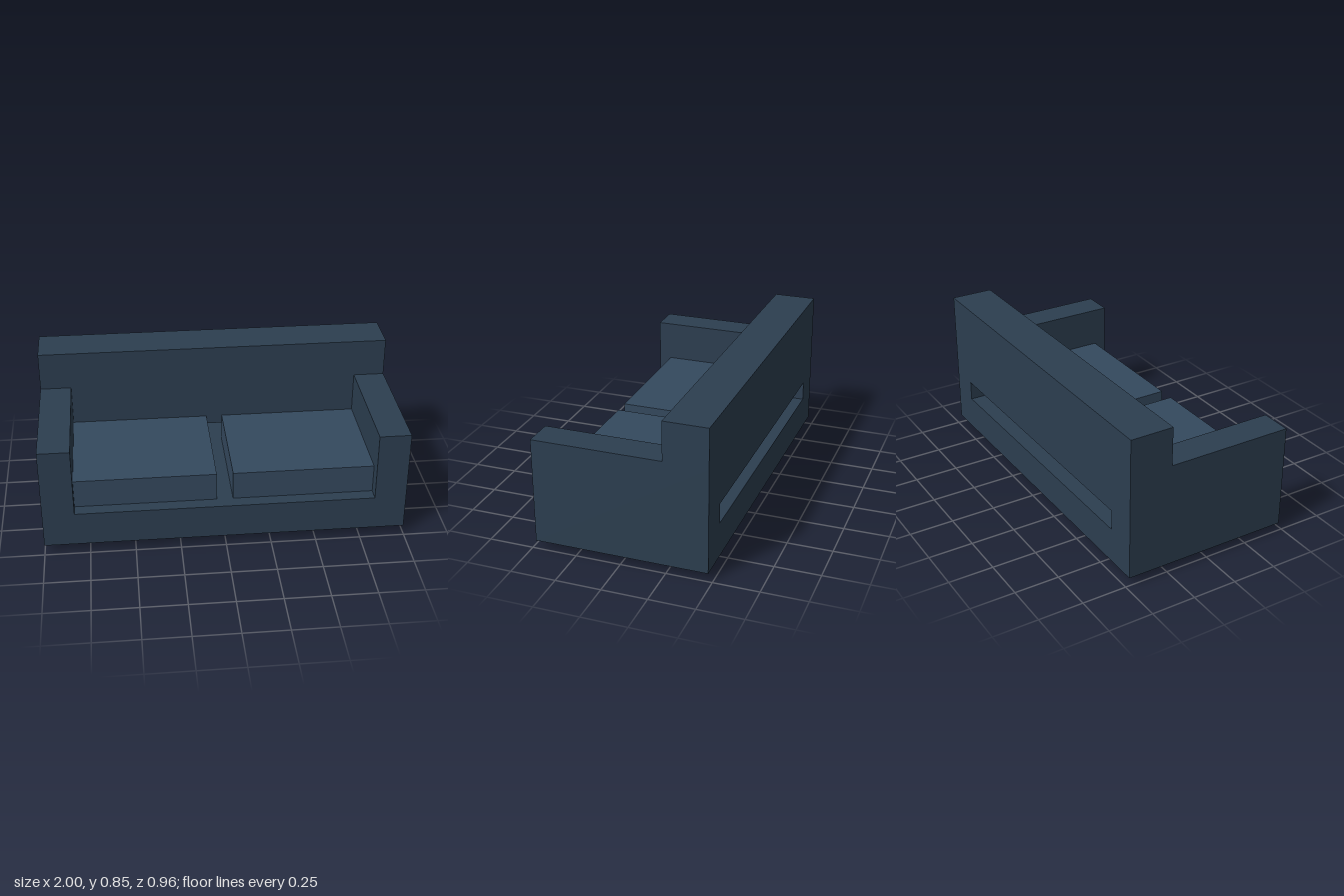
import * as THREE from 'three';

const W = 1, ARM_IN = 0.825, FRONT = 0.478, BACK_FACE = -0.235;
const FLOOR = 0.047, SEAT = 0.243, ARM_TOP = 0.635, BACK_TOP = 0.852, BACK_LOW = 0.355;

export function createModel() {
  const sofa = new THREE.Group();
  sofa.name = 'sofa';
  const fabric = new THREE.MeshStandardMaterial({ color: 0x2c3e50 });
  const cushionFabric = new THREE.MeshStandardMaterial({ color: 0x34495e });
  const legMaterial = new THREE.MeshStandardMaterial({ color: 0x1a1a1a });

  const add = (name, geometry, material, x = 0, y = 0, z = 0) => {
    const mesh = new THREE.Mesh(geometry, material);
    mesh.name = name;
    mesh.position.set(x, y, z);
    sofa.add(mesh);
  };
  // Extrudes a front-view outline between two depths
  const slab = (name, points, z0, z1) => {
    const shape = new THREE.Shape(points.map(([x, y]) => new THREE.Vector2(x, y)));
    add(name, new THREE.ExtrudeGeometry(shape, { depth: z1 - z0, bevelEnabled: false }), fabric, 0, 0, z0);
  };

  // Base and both arms as one U-shaped body
  slab('baseAndArms', [
    [-W, FLOOR], [W, FLOOR], [W, ARM_TOP], [ARM_IN, ARM_TOP],
    [ARM_IN, SEAT], [-ARM_IN, SEAT], [-ARM_IN, ARM_TOP], [-W, ARM_TOP],
  ], -FRONT, FRONT);

  // Backrest sits on the arms and leaves an open slot above the base
  slab('backrest', [
    [-ARM_IN, BACK_LOW], [ARM_IN, BACK_LOW], [ARM_IN, ARM_TOP], [W, ARM_TOP],
    [W, BACK_TOP], [-W, BACK_TOP], [-W, ARM_TOP], [-ARM_IN, ARM_TOP],
  ], -FRONT, BACK_FACE);

  // Seat cushions, parted by a gap in the middle
  const inner = 0.045, top = 0.405, cushionFront = 0.405;
  for (const side of [1, -1]) {
    add(side > 0 ? 'leftCushion' : 'rightCushion',
      new THREE.BoxGeometry(ARM_IN - inner, top - SEAT, cushionFront - BACK_FACE), cushionFabric,
      side * (ARM_IN + inner) / 2, (top + SEAT) / 2, (cushionFront + BACK_FACE) / 2);

    // Short tapered legs
    for (const end of [1, -1]) {
      add(`${end > 0 ? 'front' : 'back'}${side > 0 ? 'Left' : 'Right'}Leg`,
        new THREE.CylinderGeometry(0.026, 0.02, FLOOR, 16), legMaterial,
        side * 0.89, FLOOR / 2, end * 0.39);
    }
  }
  return sofa;
}
